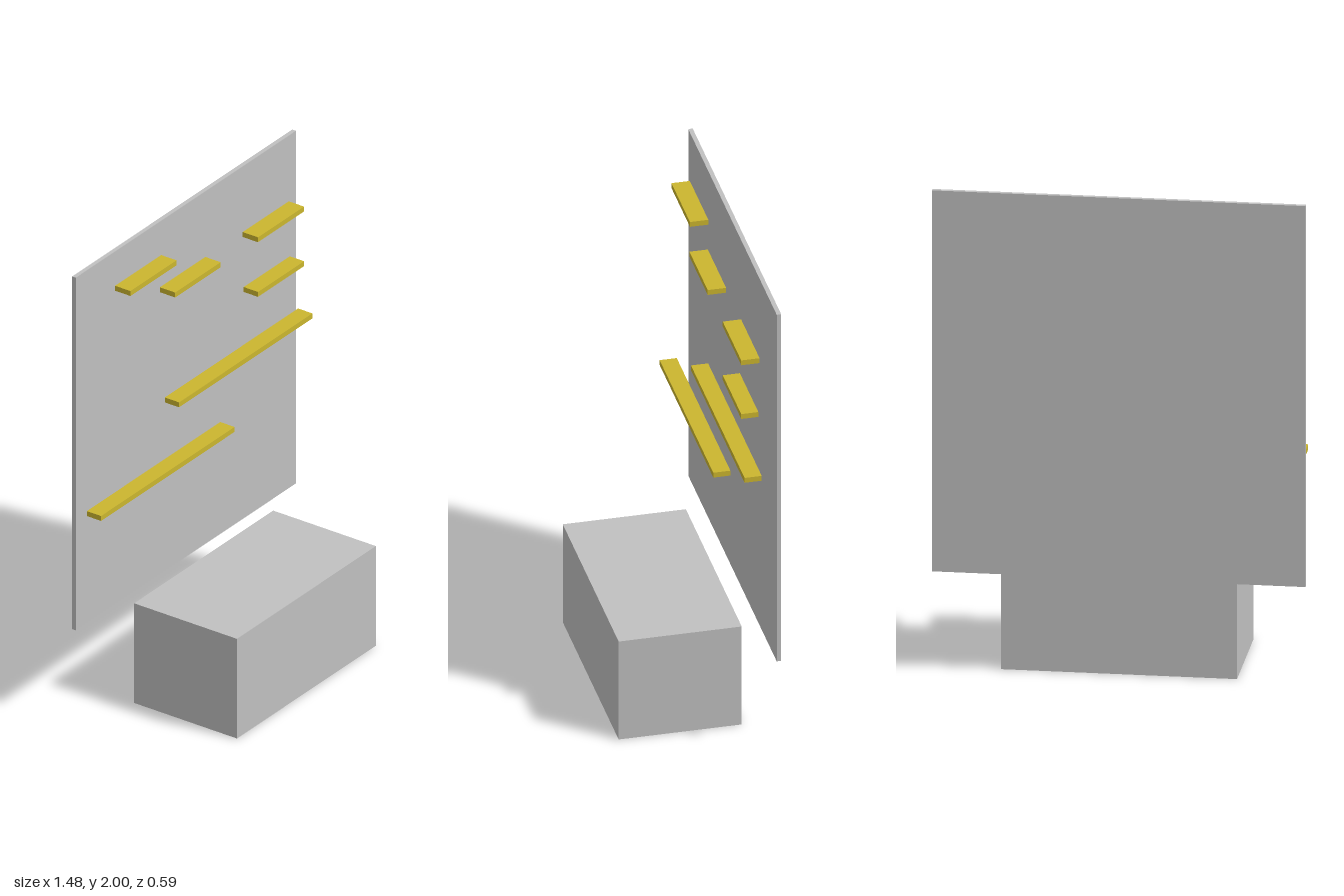
import * as THREE from 'three';

export function createModel() {
  const model = new THREE.Group();
  model.name = 'wallUnit';

  const grey = new THREE.MeshStandardMaterial({ color: 0xc0c0c0 });
  grey.name = 'light grey';
  const yellow = new THREE.MeshStandardMaterial({ color: 0xcbb62f });
  yellow.name = 'mustard yellow';

  // Box given by its extents along each axis
  function block(name, material, [x0, x1], [y0, y1], [z0, z1]) {
    const mesh = new THREE.Mesh(new THREE.BoxGeometry(x1 - x0, y1 - y0, z1 - z0), material);
    mesh.position.set((x0 + x1) / 2, (y0 + y1) / 2, (z0 + z1) / 2);
    mesh.name = name;
    model.add(mesh);
  }

  // Thin upright wall panel and the cabinet on the floor in front of it
  block('wallPanel', grey, [-0.738, 0.738], [0.425, 2], [-0.296, -0.278]);
  block('cabinet', grey, [-0.455, 0.477], [0, 0.445], [-0.2, 0.296]);

  // Floating shelves: left end, right end, centre height, back
  const shelves = [
    ['topShelf', -0.534, -0.225, 1.876, -0.235],
    ['upperMiddleShelf', -0.234, 0.071, 1.736, -0.235],
    ['upperSideShelf', 0.321, 0.63, 1.736, -0.235],
    ['lowerSideShelf', 0.321, 0.63, 1.492, -0.23],
    ['upperLongShelf', -0.208, 0.686, 1.234, -0.23],
    ['lowerLongShelf', -0.731, 0.164, 0.959, -0.23],
  ];
  for (const [name, x0, x1, y, back] of shelves) {
    block(name, yellow, [x0, x1], [y - 0.011, y + 0.011], [back, -0.161]);
  }

  return model;
}
